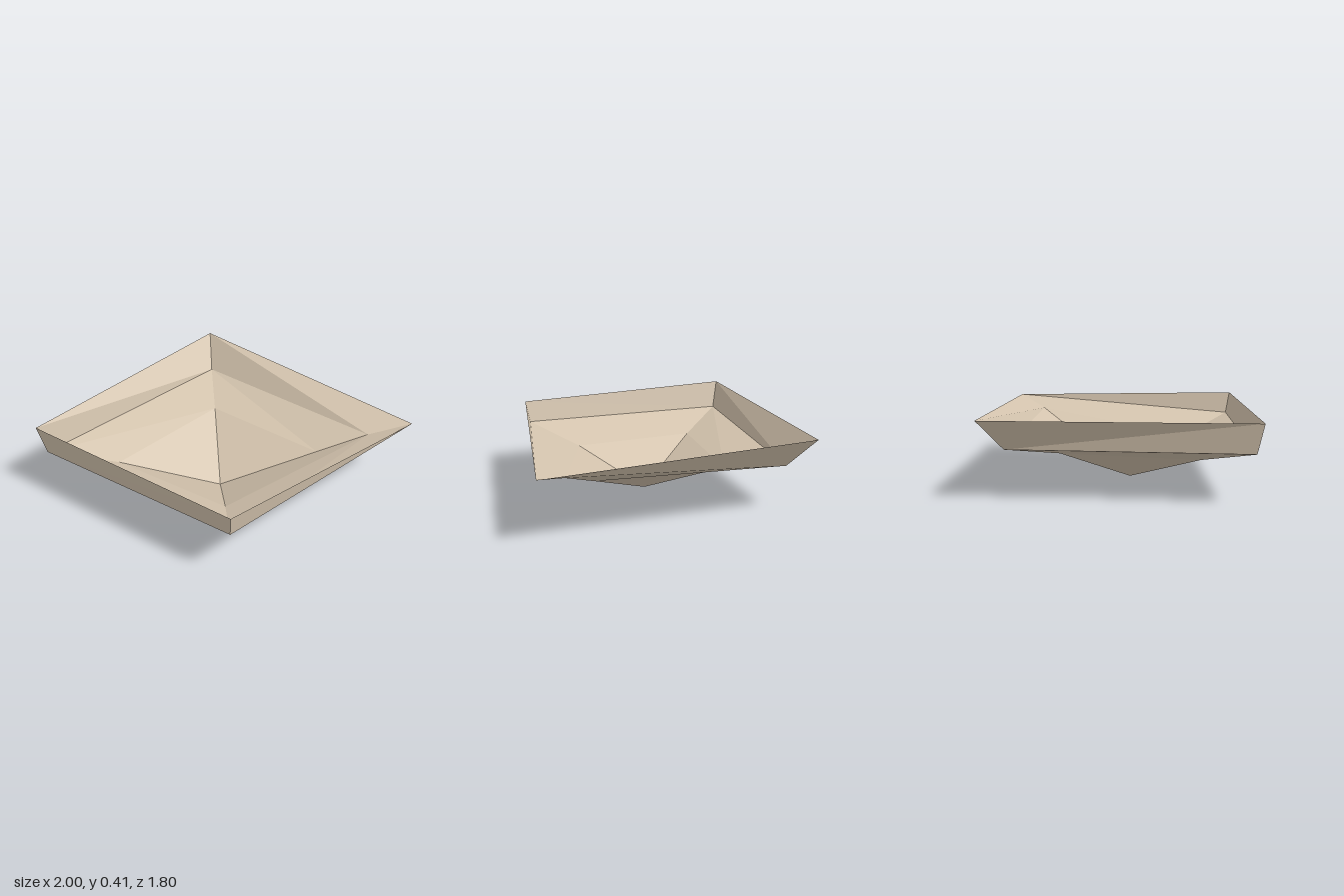
import * as THREE from 'three';

// Keel point, and the axes the four ridges run along: +x, +z, -x, -z
const KEEL = new THREE.Vector3(-0.036, 0, 0.1);
const AXES = [[1, 0], [0, 1], [-1, 0], [0, -1]];

// Each ring lists [distance from keel, height] on the four ridges
const FLOOR = [[0.526, 0.195], [0.43, 0.182], [0.544, 0.175], [0.487, 0.19]];
const CHINE = [[0.8, 0.295], [0.77, 0.283], [0.919, 0.26], [0.835, 0.253]];
const RIM = [[1.036, 0.355], [0.8, 0.402], [0.964, 0.415], [1.0, 0.415]];

function ring(rows) {
  return rows.map(([d, y], i) =>
    new THREE.Vector3(KEEL.x + AXES[i][0] * d, y, KEEL.z + AXES[i][1] * d));
}

// Flat-shaded band of four panels between two rings
function band(name, inner, outer, material) {
  const points = [];
  for (let i = 0; i < 4; i++) {
    const j = (i + 1) % 4;
    points.push(outer[j], outer[i], inner[j]);
    if (inner[i] !== inner[j]) points.push(inner[j], outer[i], inner[i]);
  }
  const geometry = new THREE.BufferGeometry().setFromPoints(points);
  geometry.computeVertexNormals();
  const mesh = new THREE.Mesh(geometry, material);
  mesh.name = name;
  return mesh;
}

export function createModel() {
  const sand = new THREE.MeshStandardMaterial({ color: 0xd4c4ae, side: THREE.DoubleSide });
  sand.name = 'sand';

  const keel = [KEEL, KEEL, KEEL, KEEL];
  const floor = ring(FLOOR), chine = ring(CHINE), rim = ring(RIM);

  const shell = new THREE.Group();
  shell.name = 'shell';
  shell.add(
    band('pointedBase', keel, floor, sand),
    band('slopingHull', floor, chine, sand),
    band('rimWall', chine, rim, sand),
  );
  return shell;
}
